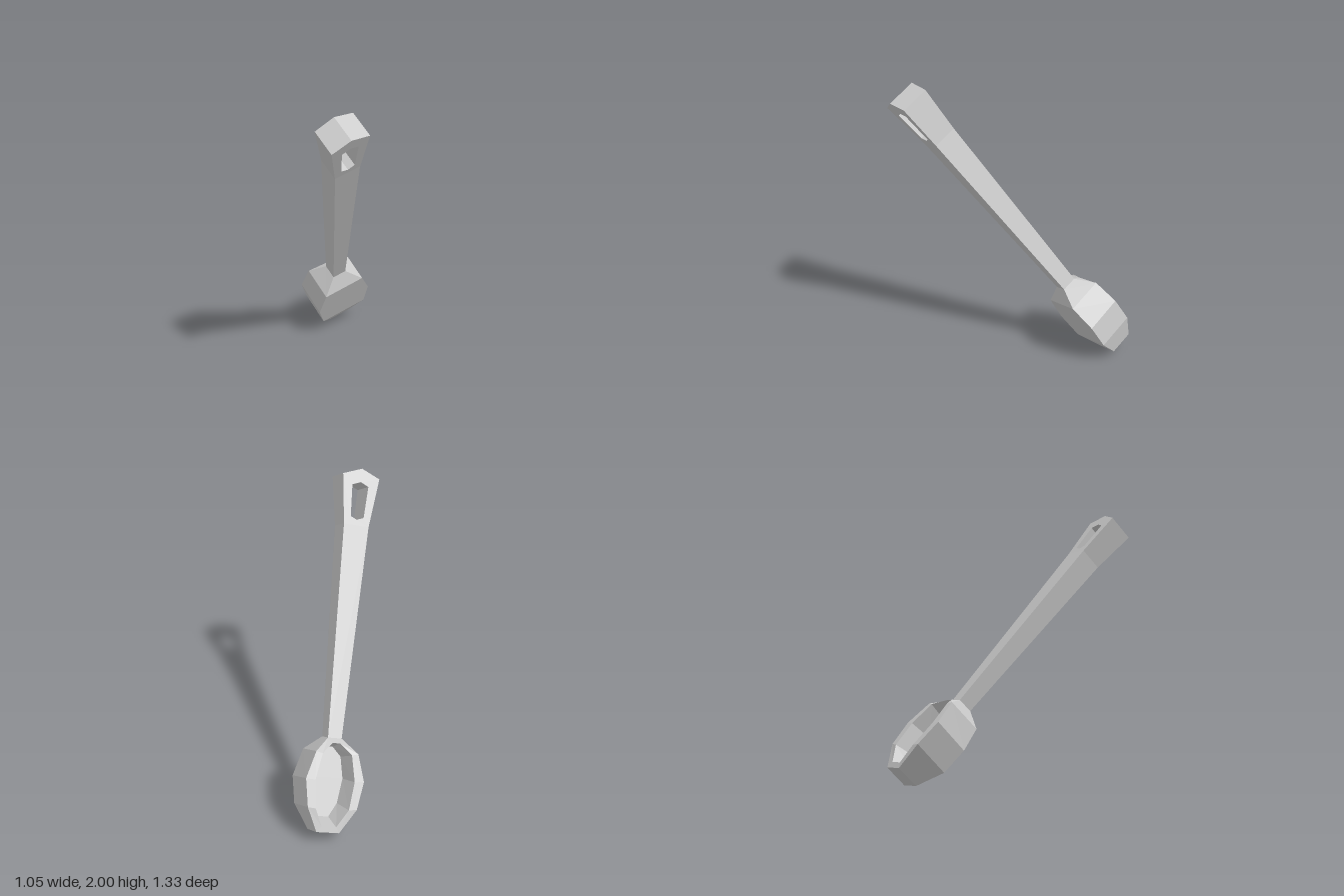
import * as THREE from 'three';

const material = new THREE.MeshStandardMaterial({ color: 0xcccccc, flatShading: true, side: THREE.DoubleSide });

// Local axes: x runs along the handle, y across it, z out of the open side of the bowl.

function quadMesh(name, quads) {
  const pos = [];
  for (const [a, b, c, d] of quads) pos.push(...a, ...b, ...c, ...a, ...c, ...d);
  const geometry = new THREE.BufferGeometry();
  geometry.setAttribute('position', new THREE.Float32BufferAttribute(pos, 3));
  geometry.computeVertexNormals();
  const mesh = new THREE.Mesh(geometry, material);
  mesh.name = name;
  return mesh;
}

// Quads between two closed rings of equal length
const loft = (lo, up) => lo.map((p, i) => {
  const j = (i + 1) % lo.length;
  return [p, lo[j], up[j], up[i]];
});

// Mirrored closed ring from stations of [along, half width, height]
const mirrorRing = (stations) => [
  ...stations,
  ...[...stations].reverse().map(([u, w, n]) => [u, -w, n]),
];

// Strips across a mirrored ring
function cap(ring, flip) {
  const quads = [];
  const last = ring.length - 1;
  for (let i = 0; i < ring.length / 2 - 1; i++) {
    const q = [ring[i], ring[i + 1], ring[last - i - 1], ring[last - i]];
    quads.push(flip ? q.reverse() : q);
  }
  return quads;
}

function makeBowl() {
  const base = mirrorRing([[0.26, 0.047, 0.466], [0.168, 0.145, 0.4], [-0.01, 0.198, 0.4], [-0.188, 0.167, 0.4], [-0.342, 0.078, 0.454]]);
  const rim = mirrorRing([[0.26, 0.047, 0.567], [0.173, 0.144, 0.638], [0, 0.198, 0.648], [-0.18, 0.167, 0.65], [-0.338, 0.078, 0.613]]);
  const lip = mirrorRing([[0.23, 0.026, 0.603], [0.163, 0.1, 0.64], [-0.005, 0.134, 0.648], [-0.185, 0.113, 0.65], [-0.3, 0.05, 0.62]]);
  const floor = mirrorRing([[0.2, 0.018, 0.5], [0.14, 0.08, 0.5], [0, 0.109, 0.5], [-0.16, 0.087, 0.5], [-0.25, 0.037, 0.5]]);
  return quadMesh('bowl', [
    ...cap(base, true),
    ...loft(base, rim),
    ...loft(rim, lip),
    ...loft(lip, floor),
    ...cap(floor, false),
  ]);
}

// Four-sided tapering shaft
function makeShaft() {
  const section = (u, w, n0, n1) => [[u, -w, n0], [u, w, n0], [u, w, n1], [u, -w, n1]];
  return quadMesh('handleShaft', loft(section(0.26, 0.047, 0.466, 0.567), section(1.631, 0.086, 0.4, 0.557)));
}

// Flared handle end with a hanging slot, thickened towards the tip
function makeHandleEnd() {
  const points = (list) => list.map(([u, w]) => new THREE.Vector2(u, w));
  const shape = new THREE.Shape(points([[1.631, -0.086], [1.949, -0.127], [1.998, 0], [1.949, 0.127], [1.631, 0.086]]));
  shape.holes.push(new THREE.Path(points([[1.666, 0], [1.685, 0.045], [1.888, 0.056], [1.911, 0], [1.888, -0.056], [1.685, -0.045]])));
  const geometry = new THREE.ExtrudeGeometry(shape, { depth: 1, bevelEnabled: false });
  const p = geometry.attributes.position;
  for (let i = 0; i < p.count; i++) {
    const under = 0.4 - 0.085 * (p.getX(i) - 1.631);
    p.setZ(i, p.getZ(i) > 0.5 ? 0.557 : under);
  }
  geometry.computeVertexNormals();
  const mesh = new THREE.Mesh(geometry, material);
  mesh.name = 'handleEnd';
  return mesh;
}

export function createModel() {
  const spoon = new THREE.Group();
  spoon.name = 'spoon';
  spoon.add(makeBowl(), makeShaft(), makeHandleEnd());

  // Leaning pose
  const along = new THREE.Vector3(0.319, 0.823, 0.472).normalize();
  const up = new THREE.Vector3(-0.82, 0.49, -0.3).normalize();
  const across = new THREE.Vector3().crossVectors(up, along).normalize();
  up.crossVectors(along, across);
  spoon.quaternion.setFromRotationMatrix(new THREE.Matrix4().makeBasis(along, across, up));
  spoon.position.copy(across).multiplyScalar(0.303);
  spoon.position.y -= 0.006;

  const model = new THREE.Group();
  model.name = 'model';
  model.add(spoon);
  return model;
}
